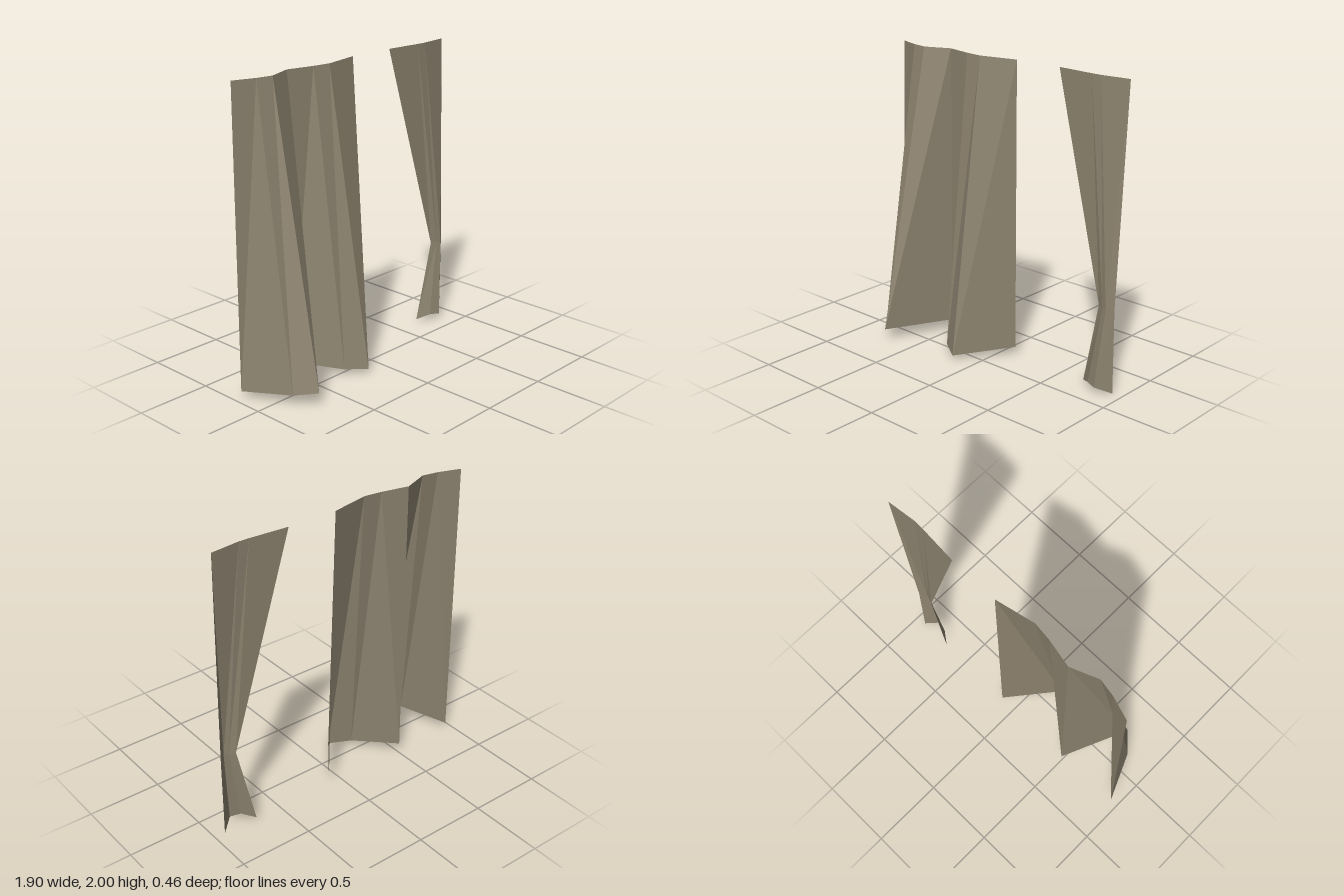
import * as THREE from 'three';

// Open sheet lofted through rows of [x, y, z] points, listed bottom to top, left to right
function drape(name, rows, material) {
  const n = rows[0].length;
  const index = [];
  for (let r = 0; r < rows.length - 1; r++) {
    for (let i = 0; i < n - 1; i++) {
      const a = r * n + i, b = a + 1, c = a + n, d = c + 1;
      index.push(a, b, d, a, d, c);
    }
  }
  const indexed = new THREE.BufferGeometry();
  indexed.setAttribute('position', new THREE.Float32BufferAttribute(rows.flat(2), 3));
  indexed.setIndex(index);
  const geometry = indexed.toNonIndexed();
  geometry.computeVertexNormals();
  const mesh = new THREE.Mesh(geometry, material);
  mesh.name = name;
  return mesh;
}

export function createModel() {
  const group = new THREE.Group();
  group.name = 'curtains';
  const cloth = new THREE.MeshStandardMaterial({ color: 0x8e8470, side: THREE.DoubleSide, flatShading: true });
  cloth.name = 'taupe cloth';

  // Wide curtain: shallow pleats at the rail, flaring forward at the hem
  group.add(drape('wideCurtain', [
    [[-0.95, 0.045, -0.21], [-0.81, 0.075, 0.11], [-0.7, 0.09, 0.227], [-0.495, 0.08, -0.23],
      [-0.29, 0.045, 0.04], [-0.155, 0.03, 0.127], [0.107, 0.06, -0.21]],
    [[-0.925, 2, -0.23], [-0.775, 2, -0.18], [-0.665, 2, -0.16], [-0.488, 2, -0.23],
      [-0.305, 2, -0.19], [-0.182, 2, -0.175], [0.08, 2, -0.23]],
  ], cloth));

  // Narrow curtain: gathered at a low waist and drawn to the side
  group.add(drape('gatheredCurtain', [
    [[0.69, 0.015, -0.2], [0.77, 0.047, -0.14], [0.838, 0.04, -0.115], [0.928, 0, -0.19]],
    [[0.81, 0.57, -0.178], [0.85, 0.57, -0.16], [0.883, 0.57, -0.15], [0.926, 0.57, -0.183]],
    [[0.42, 2, -0.23], [0.68, 2, -0.211], [0.75, 2, -0.209], [0.946, 2, -0.23]],
  ], cloth));

  return group;
}
